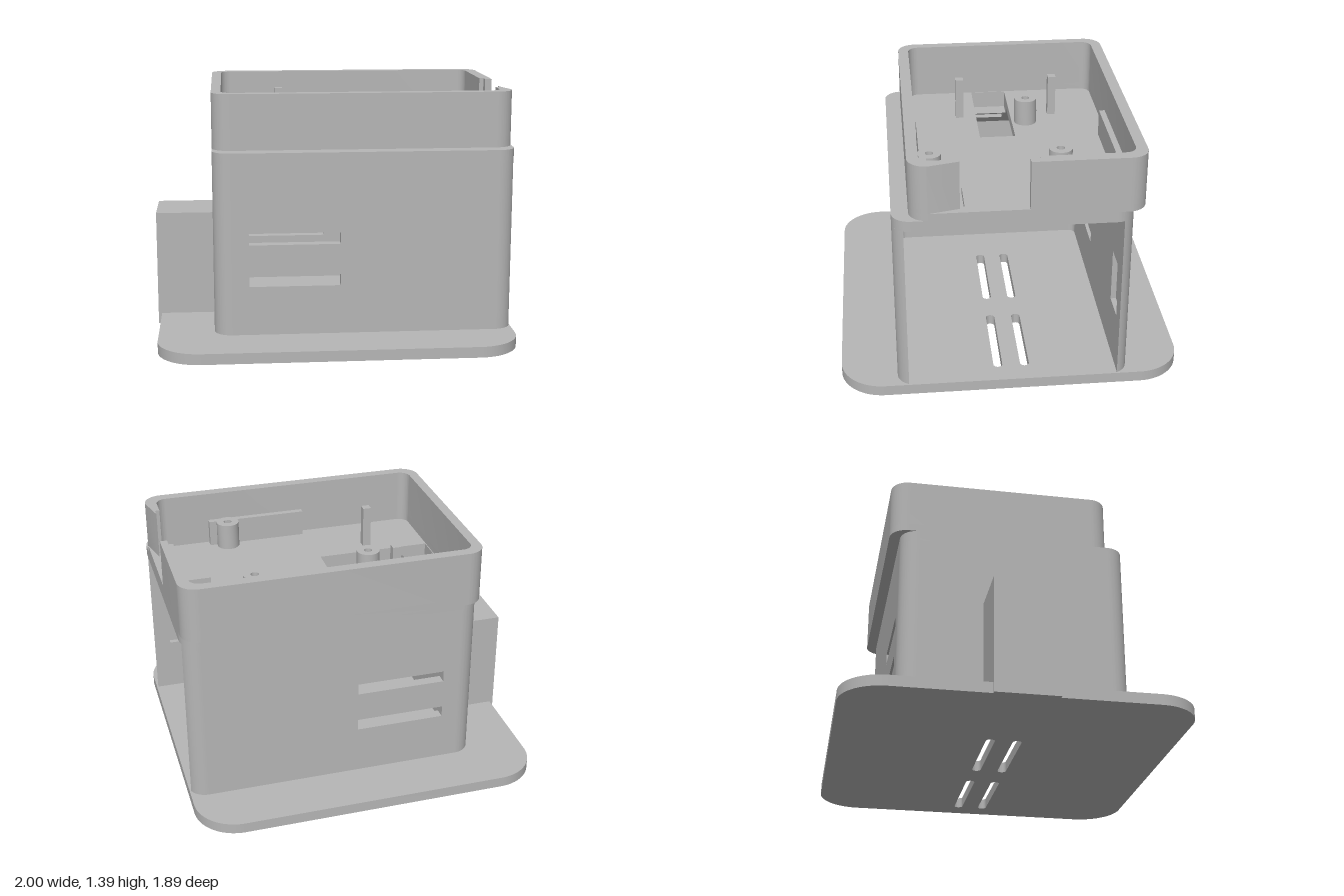
import * as THREE from 'three';
import { toCreasedNormals } from 'three/addons/utils/BufferGeometryUtils.js';

const PI = Math.PI;

export function createModel() {
  const model = new THREE.Group();
  const grey = new THREE.MeshStandardMaterial({ color: 0xb6b6b6 });
  grey.name = 'plastic grey';

  const add = (name, geo) => {
    const mesh = new THREE.Mesh(toCreasedNormals(geo, 0.5), grey);
    mesh.name = name;
    model.add(mesh);
    return mesh;
  };
  const extrude = (shape, depth) =>
    new THREE.ExtrudeGeometry(shape, { depth, bevelEnabled: false, curveSegments: 12 });

  // plan shape drawn in (x, z), raised from y0 to y1
  const slab = (name, shape, y0, y1) =>
    add(name, extrude(shape, y1 - y0).rotateX(PI / 2).translate(0, y1, 0));
  // shape drawn in (x, y), running from z0 to z1
  const panel = (name, shape, z0, z1) => add(name, extrude(shape, z1 - z0).translate(0, 0, z0));
  const box = (name, x0, x1, y0, y1, z0, z1) =>
    add(name, new THREE.BoxGeometry(x1 - x0, y1 - y0, z1 - z0)
      .translate((x0 + x1) / 2, (y0 + y1) / 2, (z0 + z1) / 2));

  const poly = (pts) => new THREE.Shape(pts.map(([a, b]) => new THREE.Vector2(a, b)));
  const rect = (a0, a1, b0, b1) => poly([[a0, b0], [a1, b0], [a1, b1], [a0, b1]]);
  const circle = (a, b, r) => new THREE.Shape().absarc(a, b, r, 0, 2 * PI, false);
  const rounded = (a0, a1, b0, b1, r) => {
    const s = new THREE.Shape();
    s.absarc(a1 - r, b1 - r, r, 0, PI / 2, false);
    s.absarc(a0 + r, b1 - r, r, PI / 2, PI, false);
    s.absarc(a0 + r, b0 + r, r, PI, 1.5 * PI, false);
    s.absarc(a1 - r, b0 + r, r, 1.5 * PI, 2 * PI, false);
    s.closePath();
    return s;
  };

  // base plate with four rounded vents
  const plate = rounded(-0.98, 1, -0.945, 0.945, 0.24);
  for (const x of [-0.08, 0.62])
    for (const z of [-0.075, 0.075])
      plate.holes.push(rounded(x - 0.26, x + 0.26, z - 0.025, z + 0.025, 0.0249));
  slab('basePlate', plate, 0, 0.06);

  // block on the side of the housing
  box('sideBlock', -1, -0.67, 0, 0.66, -0.175, 0.175);

  // front and back walls: slotted, with a pocket in the inner layer
  const wallShape = (pocket) => {
    const s = rect(-0.57, 0.9, 0.06, 1.02);
    s.holes.push(rect(-0.475, 0.03, 0.57, 0.635), rect(-0.475, 0.03, 0.335, 0.4));
    if (pocket) s.holes.push(rect(0.72, 0.895, 0.37, 0.68));
    return s;
  };
  panel('frontWallOuter', wallShape(false), 0.605, 0.635);
  panel('frontWallInner', wallShape(true), 0.575, 0.605);
  panel('backWallOuter', wallShape(false), -0.635, -0.605);
  panel('backWallInner', wallShape(true), -0.605, -0.575);

  // rounded corner posts, mirrored front to back
  for (const s of [1, -1]) {
    const closed = new THREE.Shape();
    closed.absarc(-0.57, 0.535 * s, 0.1, s * PI / 2, s * PI, s < 0);
    closed.absarc(-0.57, 0.535 * s, 0.04, s * PI, s * PI / 2, s > 0);
    closed.closePath();
    slab('closedCorner', closed, 0.06, 1.02);
    const open = new THREE.Shape();
    open.moveTo(0.9, 0.575 * s);
    open.lineTo(0.9, 0.635 * s);
    open.absarc(0.9, 0.535 * s, 0.1, s * PI / 2, s * Math.asin(0.4), s > 0);
    open.closePath();
    slab('openCorner', open, 0.06, 1.02);
  }

  // end wall with round socket
  const end = rect(-0.535, 0.535, 0.06, 1.02);
  end.holes.push(circle(0, 0.485, 0.107));
  add('endWall', extrude(end, 0.06).rotateY(-PI / 2).translate(-0.61, 0, 0));

  // sloped support under the roof, lowered and slotted in the middle
  const slope = poly([[-0.61, 0.88], [-0.47, 1.02], [-0.61, 1.02]]);
  const lowSlope = poly([[-0.61, 0.88], [-0.51, 0.98], [-0.61, 0.98]]);
  const slotted = poly([[-0.61, 0.88], [-0.56, 0.93], [-0.6, 0.93], [-0.6, 0.97],
    [-0.52, 0.97], [-0.51, 0.98], [-0.61, 0.98]]);
  panel('slopeFront', slope, 0.1, 0.575);
  panel('slopeBack', slope, -0.575, -0.105);
  panel('slopeEdgeFront', lowSlope, 0.087, 0.1);
  panel('slopeEdgeBack', lowSlope, -0.105, -0.087);
  panel('slopeSlot', slotted, -0.087, 0.087);

  // roof with hatch and cross-shaped cutout
  const roof = rounded(-0.67, 1, -0.635, 0.635, 0.1);
  roof.holes.push(rect(-0.61, 0.04, -0.105, 0.1));
  const a = 0.06, b = 0.014;
  roof.holes.push(poly([[a, b], [b, b], [b, a], [-b, a], [-b, b], [-a, b], [-a, -b], [-b, -b],
    [-b, -a], [b, -a], [b, -b], [a, -b]].map(([x, z]) => [x - 0.31, z - 0.215])));
  slab('roof', roof, 1.02, 1.08);

  // tray rim: closed ring below, notched and grooved ring above
  const ring = rounded(-0.67, 1, -0.695, 0.545, 0.1);
  ring.holes.push(rounded(-0.615, 0.935, -0.635, 0.485, 0.06));
  slab('trayRimBase', ring, 1.08, 1.12);
  const rim = new THREE.Shape();
  rim.moveTo(1, 0.28);
  rim.absarc(0.9, 0.445, 0.1, 0, PI / 2, false);
  rim.absarc(-0.57, 0.445, 0.1, PI / 2, PI, false);
  rim.absarc(-0.57, -0.595, 0.1, PI, 1.5 * PI, false);
  rim.absarc(0.9, -0.595, 0.1, 1.5 * PI, 2 * PI, false);
  for (const [x, z] of [[1, -0.08], [0.96, -0.08], [0.96, -0.13], [0.935, -0.13]]) rim.lineTo(x, z);
  rim.absarc(0.875, -0.575, 0.06, 2 * PI, 1.5 * PI, true);
  rim.absarc(-0.555, -0.575, 0.06, 1.5 * PI, PI, true);
  rim.absarc(-0.555, 0.425, 0.06, PI, PI / 2, true);
  rim.absarc(0.875, 0.425, 0.06, PI / 2, 0, true);
  for (const [x, z] of [[0.935, 0.33], [0.96, 0.33], [0.96, 0.28]]) rim.lineTo(x, z);
  rim.closePath();
  slab('trayRim', rim, 1.12, 1.39);

  // tray fittings
  box('connectorPad', 0.725, 0.935, 1.08, 1.12, -0.06, 0.255);
  box('backRail', 0.06, 0.63, 1.08, 1.23, -0.62, -0.587);
  box('frontRail', 0.06, 0.63, 1.08, 1.23, 0.435, 0.47);
  for (const z of [-0.352, 0.197]) box('post', -0.29, -0.243, 1.08, 1.32, z - 0.023, z + 0.023);
  for (const [x, z] of [[0.525, -0.3], [0.525, 0.415], [-0.16, -0.185]]) {
    const s = circle(x, z, 0.065);
    s.holes.push(circle(x, z, 0.023));
    slab('standoff', s, 1.08, 1.23);
  }
  return model;
}
